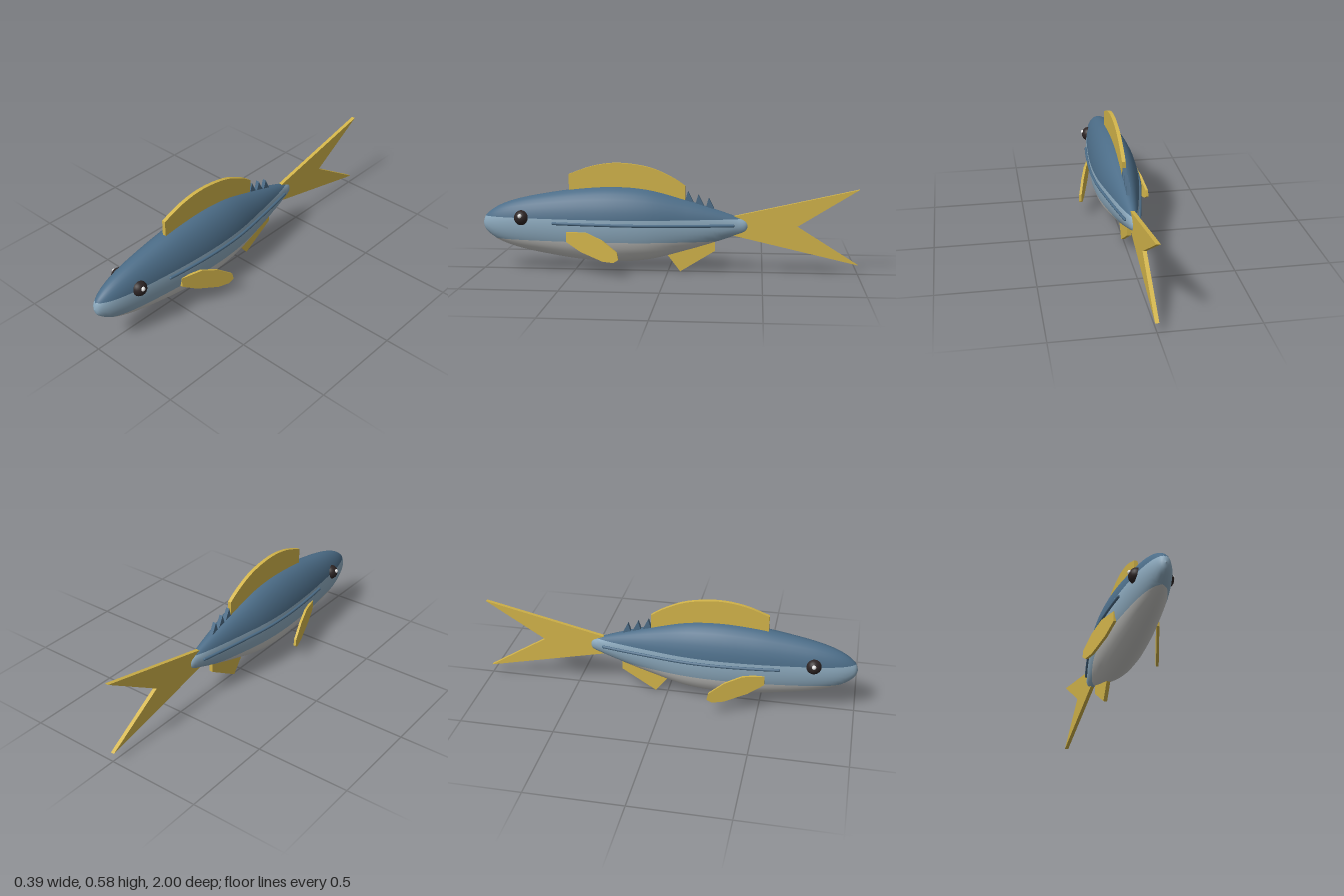
import * as THREE from 'three';

const mat = (name, color, side = THREE.FrontSide) => {
  const m = new THREE.MeshStandardMaterial({ color, side });
  m.name = name;
  return m;
};

const MID = 0.25;    // height of the body axis
const WIDTH = 0.61;  // body width relative to its height

// Half height of the body along z, nose to tail
const profile = new THREE.CatmullRomCurve3([
  [1, 0], [0.988, 0.036], [0.955, 0.068], [0.9, 0.1], [0.8, 0.134], [0.6, 0.173],
  [0.45, 0.193], [0.27, 0.202], [0.1, 0.187], [-0.1, 0.134], [-0.25, 0.088],
  [-0.36, 0.05], [-0.41, 0.03], [-0.43, 0],
].map(([z, h]) => new THREE.Vector3(0, h, z)), false, 'centripetal');

function halfHeight(z) {
  let a = 0, b = 1;
  for (let i = 0; i < 30; i++) {
    const m = (a + b) / 2;
    if (profile.getPoint(m).z > z) a = m; else b = m;
  }
  return profile.getPoint(a).y;
}

// Elliptical rings, divided at fixed heights into back, flanks and belly
function bodyGeometry() {
  const pos = [], nor = [], index = [];
  const counts = [14, 5, 12, 5], sections = 72, cols = 40; // 36 strips, 4 doubled seams
  const clampAsin = (v) => Math.asin(Math.max(-1, Math.min(1, v)));
  for (let i = 0; i <= sections; i++) {
    const p = profile.getPoint(i / sections), t = profile.getTangent(i / sections);
    const h = Math.max(p.y, 0.0005);
    const hi = clampAsin((0.288 - MID) / h), lo = clampAsin((0.168 - MID) / h);
    const ends = [hi, Math.PI - hi, Math.PI - lo, 2 * Math.PI + lo, 2 * Math.PI + hi];
    counts.forEach((n, k) => {
      for (let j = 0; j <= n; j++) {
        const a = ends[k] + (ends[k + 1] - ends[k]) * j / n;
        const c = Math.cos(a), s = Math.sin(a);
        pos.push(WIDTH * h * c, MID + h * s, p.z);
        const v = new THREE.Vector3(-t.z * c / WIDTH, -t.z * s, t.y).normalize();
        nor.push(v.x, v.y, v.z);
      }
    });
  }
  const geo = new THREE.BufferGeometry();
  let first = 0;
  counts.forEach((n, k) => {
    const start = index.length;
    for (let i = 0; i < sections; i++) {
      for (let j = 0; j < n; j++) {
        const a = i * cols + first + j, b = a + cols;
        index.push(a, b, a + 1, b, b + 1, a + 1);
      }
    }
    geo.addGroup(start, index.length - start, [0, 1, 2, 1][k]);
    first += n + 1;
  });
  geo.setAttribute('position', new THREE.Float32BufferAttribute(pos, 3));
  geo.setAttribute('normal', new THREE.Float32BufferAttribute(nor, 3));
  geo.setIndex(index);
  return geo;
}

// Flat plate drawn in (z, y), centred on x = 0
function plate(points, thickness = 0.02) {
  const shape = new THREE.Shape(points.map(([z, y]) => new THREE.Vector2(z, y)));
  const geo = new THREE.ExtrudeGeometry(shape, { depth: thickness, bevelEnabled: false });
  return geo.translate(0, 0, -thickness / 2).rotateY(-Math.PI / 2);
}

export function createModel() {
  const group = new THREE.Group();
  group.name = 'fish';
  const back = mat('back blue', 0x4c6d88);
  const flank = mat('flank pale blue', 0x8ca9bd);
  const belly = mat('belly grey', 0xc6c6c3);
  const fin = mat('fin yellow', 0xd2b44a);
  const dark = mat('eye dark', 0x2c2424);
  const white = mat('eye highlight', 0xf4f4f4);
  const add = (name, geo, material) => {
    const mesh = new THREE.Mesh(geo, material);
    mesh.name = name;
    group.add(mesh);
    return mesh;
  };

  add('body', bodyGeometry(), [back, flank, belly]);

  // Dorsal fin with a curved crest
  const crest = new THREE.SplineCurve([
    [0.53, 0.517], [0.4, 0.562], [0.26, 0.578], [0.1, 0.556], [-0.02, 0.505], [-0.09, 0.46],
  ].map(([z, y]) => new THREE.Vector2(z, y))).getPoints(20).map((p) => [p.x, p.y]);
  add('dorsalFin', plate([[0.53, 0.4], ...crest, [-0.09, 0.36], [0.2, 0.4]]), fin);

  add('tailFin', plate([[-0.34, 0.3], [-1, 0.45], [-0.68, 0.25], [-1, 0.05], [-0.34, 0.2]]), fin);
  add('analFin', plate([[0.02, 0.12], [0, 0.085], [-0.065, 0], [-0.25, 0.115], [-0.25, 0.18]]), fin);

  // Small finlets behind the dorsal fin
  for (const z of [-0.11, -0.165, -0.22]) {
    const y = MID + halfHeight(z);
    add('finlet', plate([[z + 0.025, y - 0.015], [z + 0.005, y + 0.05], [z - 0.03, y - 0.02]]), back);
  }

  for (const side of [1, -1]) {
    const label = side > 0 ? 'left' : 'right';

    // Pectoral fin, slanting outwards towards the rear
    const geo = plate([[0.53, 0.222], [0.42, 0.225], [0.33, 0.19], [0.25, 0.132],
      [0.243, 0.095], [0.27, 0.077], [0.33, 0.08], [0.45, 0.122], [0.53, 0.17]], 0.014);
    const p = geo.attributes.position;
    for (let i = 0; i < p.count; i++) {
      p.setX(i, p.getX(i) + side * (0.107 + 0.29 * (0.53 - p.getZ(i))));
    }
    geo.computeVertexNormals();
    add(label + 'PectoralFin', geo, fin);

    // Lateral line hugging the flank
    const line = [];
    for (let i = 0; i <= 12; i++) {
      const z = 0.6 - 0.945 * i / 12;
      line.push(new THREE.Vector3(side * (WIDTH * halfHeight(z) + 0.003), 0.266 - 0.011 * i / 12, z));
    }
    const path = new THREE.CatmullRomCurve3(line);
    add(label + 'LateralLine', new THREE.TubeGeometry(path, 40, 0.008, 8), back);
    for (const end of [line[0], line[12]]) {
      add(label + 'LateralLineEnd', new THREE.SphereGeometry(0.008, 8, 6), back).position.copy(end);
    }

    // Eye and its highlight
    add(label + 'Eye', new THREE.SphereGeometry(0.041, 24, 16), dark).position.set(side * 0.069, 0.288, 0.775);
    add(label + 'EyeHighlight', new THREE.SphereGeometry(0.012, 16, 12), white).position.set(side * 0.103, 0.301, 0.778);
  }
  return group;
}
